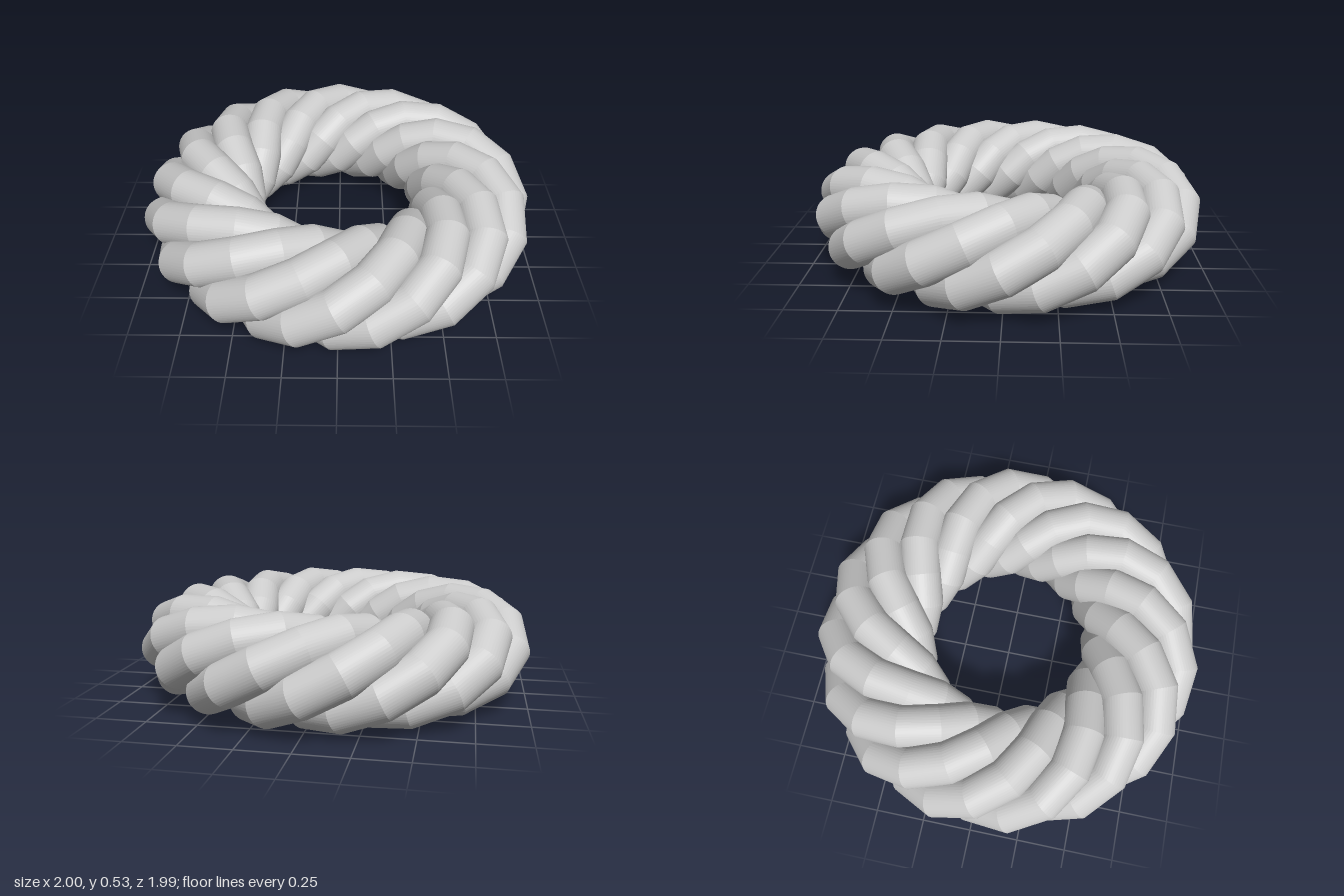
import * as THREE from 'three';

const STRANDS = 5;       // separate interwoven loops
const WINDS = 3;         // times each loop coils round the ring's core
const SEGMENTS = 32;
const RING_RADIUS = 0.695;
const COIL_WIDTH = 0.207;
const COIL_HEIGHT = 0.158;
const STRAND_RADIUS = 0.107;

// Closed loop coiling round a horizontal ring, sampled at even angles
class CoilCurve extends THREE.Curve {
  constructor(phase) {
    super();
    this.phase = phase;
  }

  getPoint(t, target = new THREE.Vector3()) {
    const turn = t * Math.PI * 2;
    const coil = WINDS * turn + this.phase;
    const radius = RING_RADIUS + COIL_WIDTH * Math.cos(coil);
    return target.set(
      radius * Math.cos(turn),
      COIL_HEIGHT * Math.sin(coil),
      -radius * Math.sin(turn)
    );
  }

  getPointAt(u, target) {
    return this.getPoint(u, target);
  }

  getTangentAt(u, target = new THREE.Vector3()) {
    const d = 1e-5;
    return target.copy(this.getPoint(u + d)).sub(this.getPoint(u - d)).normalize();
  }
}

export function createModel() {
  const group = new THREE.Group();
  group.name = 'twistedRing';
  const material = new THREE.MeshStandardMaterial({ color: 0xcccccc, flatShading: true });

  // Identical strands, evenly spaced round the core
  for (let i = 0; i < STRANDS; i++) {
    const curve = new CoilCurve((i / STRANDS) * Math.PI * 2);
    const geometry = new THREE.TubeGeometry(curve, SEGMENTS, STRAND_RADIUS, 48, true);
    const strand = new THREE.Mesh(geometry, material);
    strand.name = `strand${i + 1}`;
    group.add(strand);
  }

  // Centre the ring and rest it on the ground
  const box = new THREE.Box3().setFromObject(group, true);
  const centre = box.getCenter(new THREE.Vector3());
  for (const strand of group.children) strand.position.set(-centre.x, -box.min.y, -centre.z);

  return group;
}
